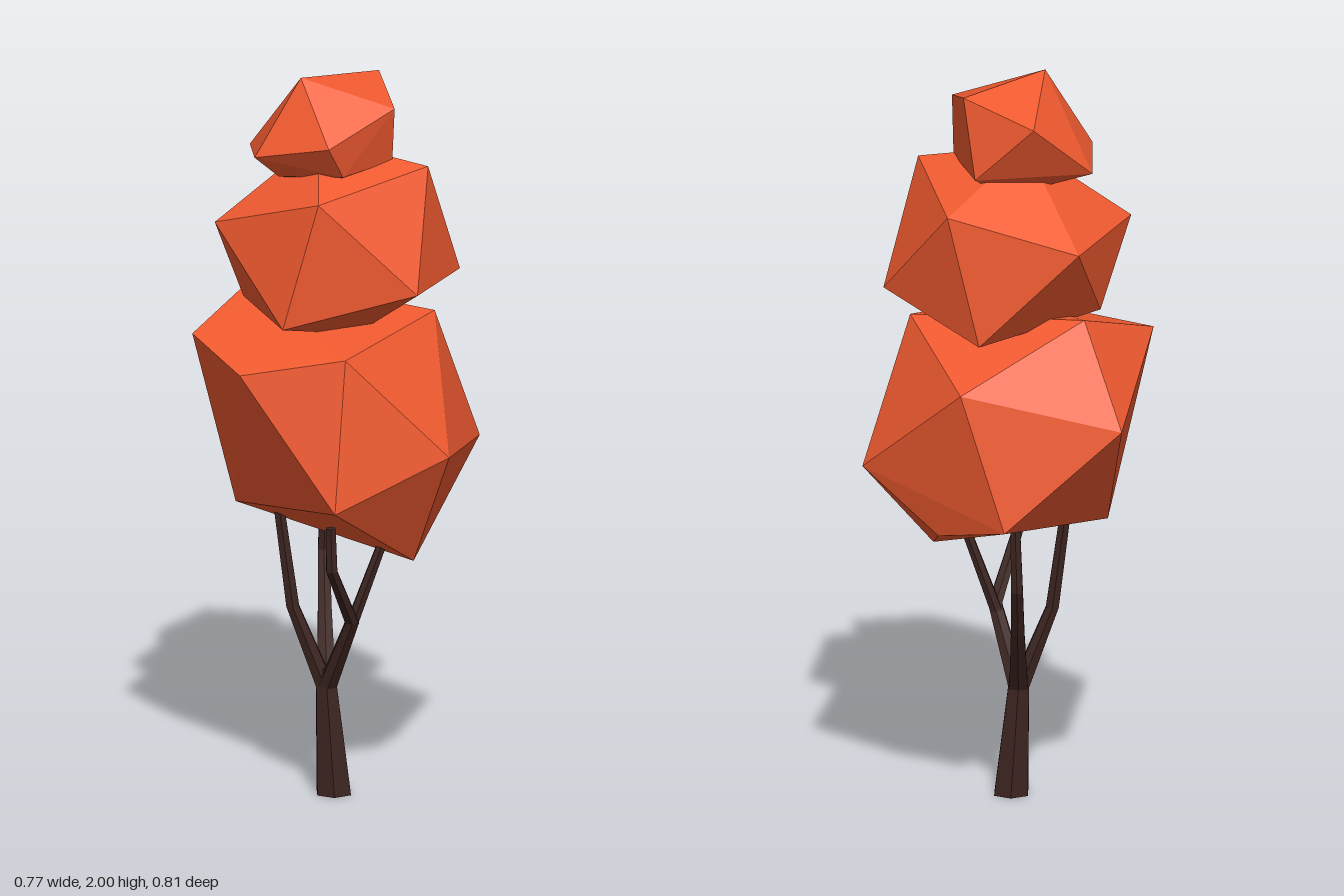
import * as THREE from 'three';
import { ConvexGeometry } from 'three/addons/geometries/ConvexGeometry.js';

const bark = new THREE.MeshStandardMaterial({ color: 0x3c2420, flatShading: true });
const leaf = new THREE.MeshStandardMaterial({ color: 0xf05a30, flatShading: true });

// Faceted foliage clump: the hull of a dozen or so corner points
function clump(name, corners) {
  const points = corners.map(c => new THREE.Vector3(...c));
  const mesh = new THREE.Mesh(new ConvexGeometry(points), leaf);
  mesh.name = name;
  return mesh;
}

// Six-sided tapering limb: each ring of a cylinder is moved to a station [x, y, z, radius]
function limb(name, stations) {
  const n = stations.length - 1;
  const geo = new THREE.CylinderGeometry(1, 1, 1, 6, n);
  const pos = geo.attributes.position;
  for (let i = 0; i < pos.count; i++) {
    const [x, y, z, r] = stations[Math.round((pos.getY(i) + 0.5) * n)];
    pos.setXYZ(i, x + pos.getX(i) * r, y, z + pos.getZ(i) * r);
  }
  geo.computeVertexNormals();
  const mesh = new THREE.Mesh(geo, bark);
  mesh.name = name;
  return mesh;
}

export function createModel() {
  const tree = new THREE.Group();
  tree.name = 'tree';

  // Trunk and forking branches
  tree.add(
    limb('trunk', [[-0.01, 0, 0.012, 0.052], [-0.03, 0.3, 0.01, 0.032], [-0.03, 0.35, 0.01, 0.026]]),
    limb('rightBranch', [[-0.03, 0.29, 0.01, 0.029], [-0.12, 0.52, 0.01, 0.02], [-0.16, 0.82, 0.0, 0.016]]),
    limb('backBranch', [[-0.03, 0.29, 0.01, 0.029], [-0.03, 0.48, -0.12, 0.021],
      [-0.03, 0.62, -0.2, 0.018], [-0.025, 0.8, -0.2, 0.015]]),
    limb('frontBranch', [[-0.03, 0.29, 0.01, 0.029], [0.035, 0.5, 0.11, 0.021],
      [-0.022, 0.67, 0.21, 0.017], [-0.025, 0.79, 0.21, 0.015]]),
    limb('leftFork', [[0.03, 0.48, 0.1, 0.019], [0.11, 0.7, 0.1, 0.015], [0.13, 0.78, 0.1, 0.014]]),
  );

  // Three stacked foliage clumps
  tree.add(
    clump('lowerFoliage', [
      [-0.39, 1.29, 0.05], [-0.27, 1.23, 0.26], [0.01, 1.29, 0.335], [0.26, 1.335, 0],
      [0.29, 1.0, 0.27], [0.385, 0.95, -0.134], [-0.02, 0.88, 0.4], [0.2, 0.67, 0.11],
      [-0.27, 0.79, -0.07], [-0.21, 1.38, -0.21], [-0.313, 1.11, -0.356],
      [0, 0.84, -0.405], [0.118, 1.21, -0.364], [0.18, 0.79, -0.25],
    ]),
    clump('middleFoliage', [
      [-0.33, 1.6, 0.053], [-0.06, 1.705, 0.275], [0.24, 1.755, 0.073], [0.33, 1.43, -0.073],
      [0.205, 1.45, 0.268], [-0.155, 1.355, 0.258], [0.155, 1.68, -0.273], [-0.197, 1.58, -0.286],
      [0.07, 1.325, -0.287], [-0.25, 1.365, -0.05], [-0.05, 1.81, -0.02], [0.05, 1.28, 0.03],
    ]),
    clump('upperFoliage', [
      [-0.1, 2, 0.06], [0.115, 1.97, -0.117], [0.15, 1.92, 0.09], [-0.075, 1.91, -0.225],
      [-0.03, 1.84, 0.208], [-0.225, 1.79, 0.097], [-0.23, 1.765, -0.13], [0.083, 1.755, -0.168],
      [0.145, 1.765, 0.05], [0.01, 1.75, 0.16], [-0.16, 1.73, 0.07], [0, 1.68, -0.05],
    ]),
  );
  return tree;
}
